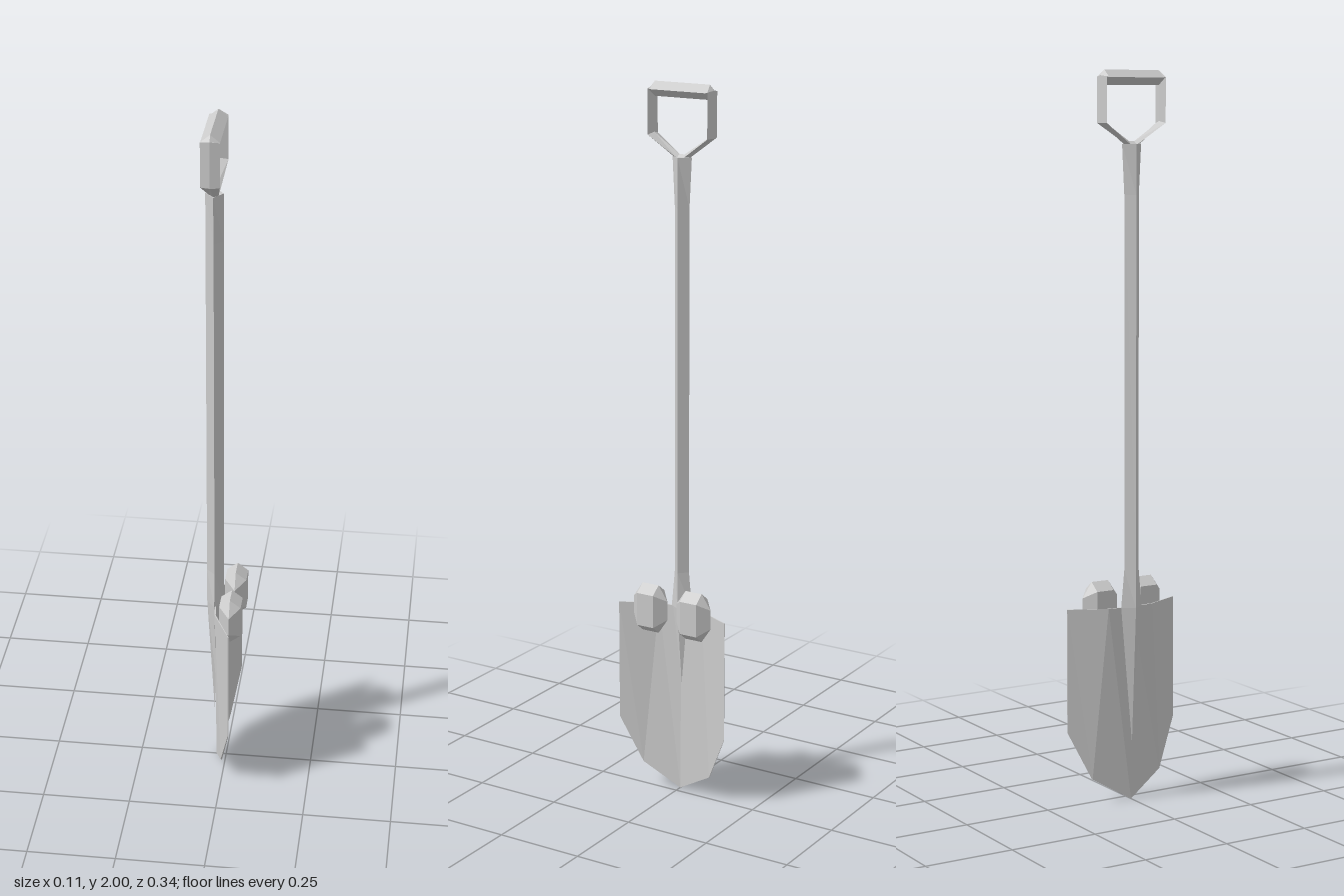
import * as THREE from 'three';

const material = new THREE.MeshStandardMaterial({ color: 0xcccccc, flatShading: true });

// Joins equal-length rings of [x, y, z] points into a closed solid, faces outward
function loft(name, rings, loop = false) {
  const tris = [];
  const n = rings[0].length;
  const spans = loop ? rings.length : rings.length - 1;
  for (let i = 0; i < spans; i++) {
    const a = rings[i], b = rings[(i + 1) % rings.length];
    for (let j = 0; j < n; j++) {
      const k = (j + 1) % n;
      tris.push([a[j], a[k], b[k]], [a[j], b[k], b[j]]);
    }
  }
  if (!loop) {
    const a = rings[0], b = rings[rings.length - 1];
    for (let j = 1; j < n - 1; j++) tris.push([a[0], a[j + 1], a[j]], [b[0], b[j], b[j + 1]]);
  }
  // A negative volume means the rings ran the other way round
  let volume = 0;
  const [p, q, r] = [0, 1, 2].map(() => new THREE.Vector3());
  for (const t of tris) volume += p.set(...t[0]).dot(q.set(...t[1]).cross(r.set(...t[2])));
  if (volume < 0) tris.forEach((t) => t.reverse());

  const geometry = new THREE.BufferGeometry();
  geometry.setAttribute('position', new THREE.Float32BufferAttribute(tris.flat(2), 3));
  geometry.computeVertexNormals();
  const mesh = new THREE.Mesh(geometry, material);
  mesh.name = name;
  return mesh;
}

const AXIS = -0.03; // x of the shaft's centre line

// Diamond-section shaft, ending in a pointed socket that runs into the blade
function shaft() {
  const rings = [[1.805, 0.03], [1.67, 0.023], [0.65, 0.023], [0.545, 0.033]].map(([y, hz]) => [
    [AXIS + 0.024, y, 0], [AXIS, y, -hz], [AXIS - 0.024, y, 0], [AXIS, y, hz],
  ]);
  rings.push([[-0.026, 0.34, 0], [-0.029, 0.27, -0.003], [-0.033, 0.16, 0], [-0.029, 0.27, 0.003]]);
  return loft('shaft', rings);
}

// D-shaped handle: [outer z, y], [middle z, y, half width], [inner z, y] for one side
function handle() {
  const half = [
    [[0.012, 1.795], [0.01, 1.803, 0.012], [0.008, 1.812]],
    [[0.097, 1.86], [0.092, 1.86, 0.025], [0.087, 1.865]],
    [[0.097, 1.985], [0.092, 1.982, 0.025], [0.087, 1.962]],
    [[0.085, 2.0], [0.085, 1.98, 0.025], [0.084, 1.96]],
  ];
  const ring = (side) => ([o, m, i]) => [
    [AXIS, o[1], side * o[0]], [AXIS + m[2], m[1], side * m[0]],
    [AXIS, i[1], side * i[0]], [AXIS - m[2], m[1], side * m[0]],
  ];
  return loft('handle', [...half.map(ring(1)), ...[...half].reverse().map(ring(-1))], true);
}

// Folded blade: sections across the width, each thin from front to back
function blade() {
  // z, top x, top y, lower x, lower y, thickness
  const half = [
    [0.172, 0.027, 0.545, 0.027, 0.2, 0.002],
    [0.109, 0.004, 0.545, 0.001, 0.065, 0.004],
    [0, -0.028, 0.545, -0.022, 0, 0.006],
  ];
  // The inner fold leans outward toward the tip
  const topZ = [0.172, 0.07, 0];
  half[1][1] = -0.021;
  const ring = (side) => ([z, tx, ty, lx, ly, t], i) => [
    [tx, ty, side * topZ[i]], [lx, ly, side * z],
    [lx - t, ly, side * z], [tx - t, ty, side * topZ[i]],
  ];
  return loft('blade', [...half.map(ring(1)), ...half.slice(0, 2).map(ring(-1)).reverse()]);
}

// Faceted foot rest: hexagonal section with ends drawn in to an upright edge
function footRest(name, z) {
  const section = (dz, hx, peak, shoulder) => [
    [0, peak], [hx, shoulder], [hx, -shoulder], [0, -peak], [-hx, -shoulder], [-hx, shoulder],
  ].map(([x, y]) => [0.022 + x, 0.545 + y, z + dz]);
  return loft(name, [
    section(-0.055, 0, 0.027, 0.027), section(-0.026, 0.03, 0.07, 0.047),
    section(0.026, 0.03, 0.07, 0.047), section(0.055, 0, 0.027, 0.027),
  ]);
}

export function createModel() {
  const group = new THREE.Group();
  group.name = 'shovel';
  group.add(shaft(), handle(), blade(), footRest('frontFootRest', 0.07), footRest('rearFootRest', -0.07));
  return group;
}
